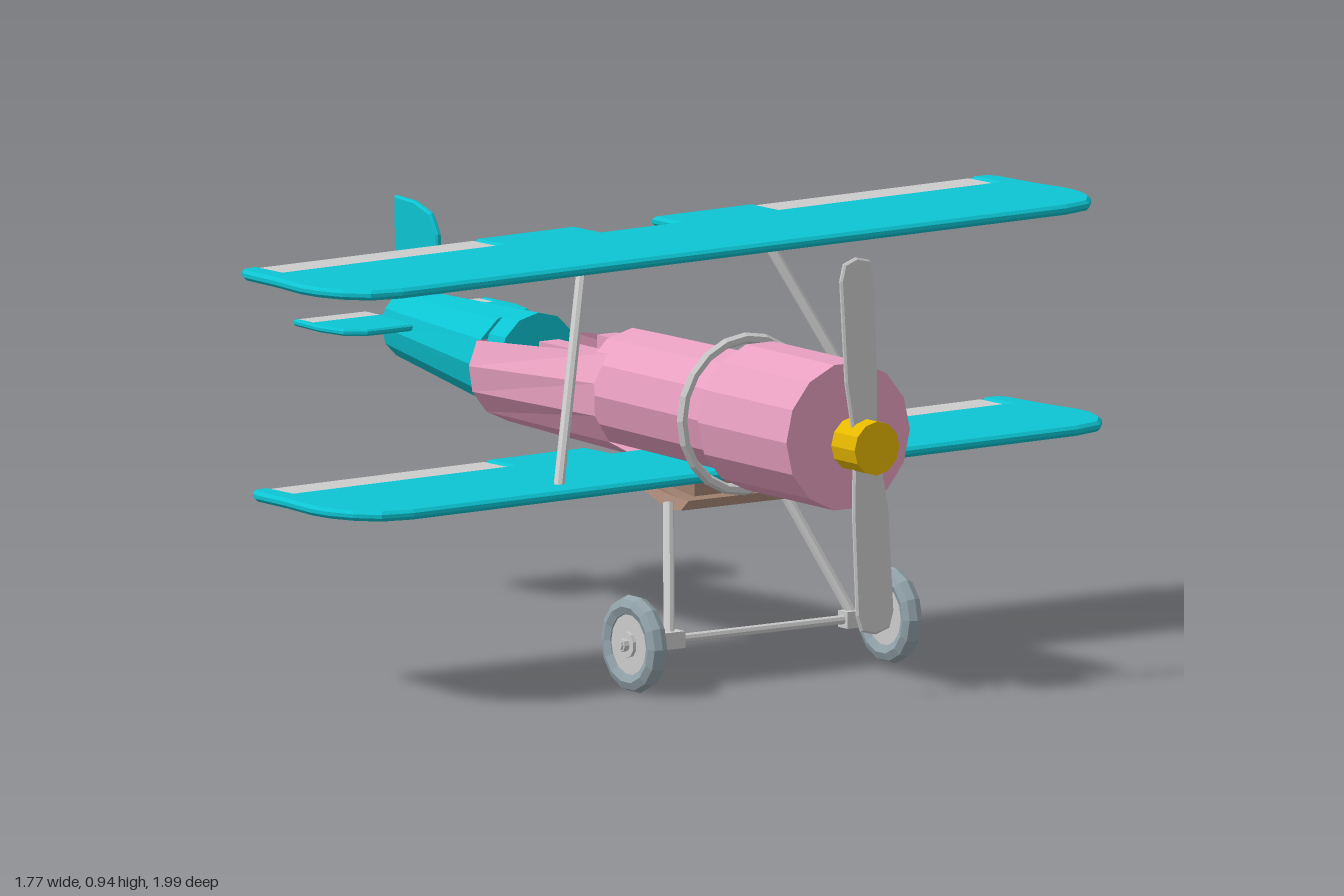
import * as THREE from 'three';

const V = (x, y, z) => new THREE.Vector3(x, y, z);
const paint = (color) => new THREE.MeshStandardMaterial({ color, flatShading: true, side: THREE.DoubleSide });
const TEAL = paint(0x0cc4d2), PINK = paint(0xe8a0c0), GOLD = paint(0xe6b800);
const BROWN = paint(0xa08070), TYRE = paint(0x93a3ab), GREY = paint(0xcccccc);

function add(parent, name, geo, mat, x = 0, y = 0, z = 0) {
  const m = new THREE.Mesh(geo, mat);
  m.name = name;
  m.position.set(x, y, z);
  parent.add(m);
  return m;
}

// Straight round bar between two points
function rod(parent, name, a, b, r, mat, sides = 8) {
  const m = add(parent, name, new THREE.CylinderGeometry(r, r, a.distanceTo(b), sides), mat);
  m.position.copy(a).lerp(b, 0.5);
  m.quaternion.setFromUnitVectors(V(0, 1, 0), b.clone().sub(a).normalize());
  return m;
}

// Elliptical cross-section at x; angles run from the top towards +z
function ring(x, cy, ry, rz, n = 12, a0 = 0, a1 = Math.PI * 2) {
  return Array.from({ length: n + 1 }, (_, i) => {
    const a = a0 + (a1 - a0) * i / n;
    return V(x, cy + ry * Math.cos(a), rz * Math.sin(a));
  });
}

// Skin over cross-sections listed from rear to front, with optional end caps
function loft(rings, capRear = false, capFront = false) {
  const pts = [];
  for (let i = 0; i < rings.length - 1; i++) {
    const p = rings[i], q = rings[i + 1];
    for (let j = 0; j < p.length - 1; j++) {
      pts.push(p[j], p[j + 1], q[j], p[j + 1], q[j + 1], q[j]);
    }
  }
  const cap = (r, flip) => {
    for (let j = 1; j < r.length - 1; j++) pts.push(r[0], r[flip ? j + 1 : j], r[flip ? j : j + 1]);
  };
  if (capRear) cap(rings[0], false);
  if (capFront) cap(rings[rings.length - 1], true);
  const g = new THREE.BufferGeometry().setFromPoints(pts);
  g.computeVertexNormals();
  return g;
}

// Flat panel with a small bevel, centred through its thickness
function panel(points, t, bevel = 0.004) {
  const shape = new THREE.Shape(points.map(([a, b]) => new THREE.Vector2(a, b)));
  const g = new THREE.ExtrudeGeometry(shape, {
    depth: t - 2 * bevel, bevelEnabled: bevel > 0, bevelThickness: bevel,
    bevelSize: bevel, bevelOffset: -bevel, bevelSegments: 1,
  });
  return g.translate(0, 0, bevel - t / 2);
}
// Same panel lying level, with outline given as (x, z)
const levelPanel = (points, t, bevel) => panel(points, t, bevel).rotateX(Math.PI / 2);
const mirrored = (half) => [...half, ...half.map(([x, z]) => [x, -z]).reverse()];

function makeWing(name) {
  const wing = new THREE.Group();
  wing.name = name;
  const half = [
    [0.04, 0.1], [-0.06, 0.1], [-0.06, 0.36], [0.04, 0.36], [0.04, 0.925], [-0.06, 0.925],
    [-0.055, 0.965], [-0.03, 0.978], [0.09, 0.984], [0.2, 0.997], [0.26, 0.992],
    [0.32, 0.97], [0.37, 0.93], [0.39, 0.86],
  ];
  add(wing, 'wingPanel', levelPanel(mirrored(half), 0.022, 0.007), TEAL);
  for (const s of [-1, 1]) {
    add(wing, 'aileron', new THREE.BoxGeometry(0.098, 0.014, 0.556), GREY, -0.009, 0, s * 0.6425);
  }
  wing.rotation.set(0.008, 0, 0.015);
  return wing;
}

function makeFuselage() {
  const g = new THREE.Group();
  g.name = 'fuselage';
  // Cowling, narrower neck and dividing hoop
  rod(g, 'engineCowling', V(0.45, 0.557, -0.02), V(0.775, 0.557, -0.02), 0.16, PINK, 14);
  add(g, 'frontBody', loft([ring(0.01, 0.56, 0.127, 0.13), ring(0.46, 0.56, 0.132, 0.135)], false, true), PINK);
  const hoop = add(g, 'cowlHoop', new THREE.TorusGeometry(0.163, 0.012, 6, 20), GREY, 0.43, 0.56, 0.004);
  hoop.rotation.y = Math.PI / 2;
  // Open-topped cockpit shell
  add(g, 'cockpitShell', loft([
    ring(-0.4, 0.55, 0.12, 0.135, 9, 1.0, Math.PI * 2 - 1.0),
    ring(0.07, 0.557, 0.137, 0.145, 9, 0.82, Math.PI * 2 - 0.82),
  ], true), PINK);
  add(g, 'cockpitFloor', new THREE.BoxGeometry(0.4, 0.012, 0.23), PINK, -0.18, 0.56, 0);
  for (const s of [-1, 1]) {
    add(g, 'cockpitRail', new THREE.BoxGeometry(0.23, 0.05, 0.05), PINK, -0.075, 0.615, s * 0.075);
  }
  add(g, 'seat', new THREE.BoxGeometry(0.09, 0.03, 0.1), PINK, -0.1, 0.58, 0);
  // Tapered tail cone with a raised deck reaching forward
  add(g, 'tailCone', loft([
    ring(-0.805, 0.585, 0.075, 0.075), ring(-0.4, 0.56, 0.11, 0.12),
  ], true, true), TEAL);
  add(g, 'tailDeck', loft([
    ring(-0.805, 0.585, 0.076, 0.076, 6, -Math.PI / 2, Math.PI / 2),
    ring(-0.335, 0.58, 0.092, 0.098, 6, -Math.PI / 2, Math.PI / 2),
  ], true, true), TEAL);
  return g;
}

function makeTail() {
  const g = new THREE.Group();
  g.name = 'tail';
  const half = [
    [-0.82, 0.055], [-0.828, 0.06], [-0.828, 0.235], [-0.885, 0.238], [-0.88, 0.25],
    [-0.78, 0.255], [-0.71, 0.24], [-0.68, 0.2],
  ];
  add(g, 'tailplane', levelPanel(mirrored(half), 0.014), TEAL, 0, 0.6, 0);
  for (const s of [-1, 1]) {
    add(g, 'elevator', new THREE.BoxGeometry(0.057, 0.01, 0.175), GREY, -0.857, 0.6, s * 0.147);
  }
  add(g, 'fin', panel([
    [-0.815, 0.64], [-0.815, 0.665], [-0.855, 0.67], [-0.858, 0.853], [-0.785, 0.85],
    [-0.725, 0.832], [-0.7, 0.79], [-0.693, 0.64],
  ], 0.014), TEAL);
  return g;
}

function makePropeller() {
  const g = new THREE.Group();
  g.name = 'propeller';
  rod(g, 'hub', V(-0.043, 0, 0), V(0.043, 0, 0), 0.058, GOLD, 12);
  rod(g, 'shaft', V(-0.07, 0, 0), V(-0.03, 0, 0), 0.027, GREY, 10);
  const blade = [
    [-0.03, 0], [-0.047, 0.14], [-0.047, 0.36], [-0.035, 0.395], [0, 0.405],
    [0.035, 0.395], [0.044, 0.36], [0.04, 0.14], [0.03, 0],
  ];
  const blades = new THREE.Group();
  blades.name = 'blades';
  for (const s of [0, 1]) {
    const holder = new THREE.Group();
    holder.name = 'bladeHolder';
    holder.rotation.x = s * Math.PI;
    add(holder, 'blade', panel(blade, 0.012), GREY).rotation.y = Math.PI / 2 + 0.08;
    blades.add(holder);
  }
  blades.rotation.set(0.04, 0, 0.03);
  g.add(blades);
  g.position.set(0.838, 0.545, -0.02);
  return g;
}

function makeLandingGear() {
  const g = new THREE.Group();
  g.name = 'landingGear';
  // Wedge-shaped mount under the body
  const slab = (x, y0, y1, w0, w1) => [
    V(x, y1, -w1), V(x, y1, w1), V(x, y0, w0), V(x, y0, -w0), V(x, y1, -w1),
  ];
  add(g, 'gearMount', loft([
    slab(0.07, 0.405, 0.425, 0.09, 0.09), slab(0.37, 0.362, 0.385, 0.16, 0.14), slab(0.43, 0.368, 0.387, 0.17, 0.15),
  ], true, true), BROWN);
  add(g, 'mountBlock', new THREE.BoxGeometry(0.16, 0.05, 0.2), BROWN, 0.3, 0.405, 0);
  const X = 0.493, Y = 0.107;
  rod(g, 'axle', V(X, Y, -0.36), V(X, Y, 0.375), 0.01, GREY);
  for (const s of [-1, 1]) {
    const zc = s * 0.24 + 0.005, zw = s * 0.33 + 0.005;
    rod(g, 'gearLeg', V(0.37, 0.375, s * 0.148 + 0.012), V(X, Y, zc), 0.012, GREY);
    add(g, 'axleCollar', new THREE.BoxGeometry(0.034, 0.036, 0.06), GREY, X, Y, zc);
    add(g, 'tyre', new THREE.TorusGeometry(0.082, 0.023, 8, 14), TYRE, X, Y, zw);
    rod(g, 'wheelDisc', V(X, Y, zw - 0.014), V(X, Y, zw + 0.014), 0.066, GREY, 14);
    rod(g, 'wheelHub', V(X, Y, zw - 0.022), V(X, Y, zw + 0.022), 0.028, GREY, 10);
    rod(g, 'axleNut', V(X, Y, zw + s * 0.02), V(X, Y, zw + s * 0.035), 0.014, GREY);
  }
  return g;
}

export function createModel() {
  const plane = new THREE.Group();
  plane.name = 'biplane';
  const upper = makeWing('upperWing');
  upper.position.set(0, 0.896, 0);
  const lower = makeWing('lowerWing');
  lower.position.set(0.04, 0.427, 0);
  plane.add(makeFuselage(), makeTail(), upper, lower, makePropeller(), makeLandingGear());
  // One slanted strut on each side
  rod(plane, 'wingStrut', V(0.172, 0.893, 0.24), V(0.35, 0.43, 0.43), 0.012, GREY);
  rod(plane, 'wingStrut', V(0.235, 0.9, -0.18), V(0.42, 0.437, -0.38), 0.012, GREY);
  return plane;
}
